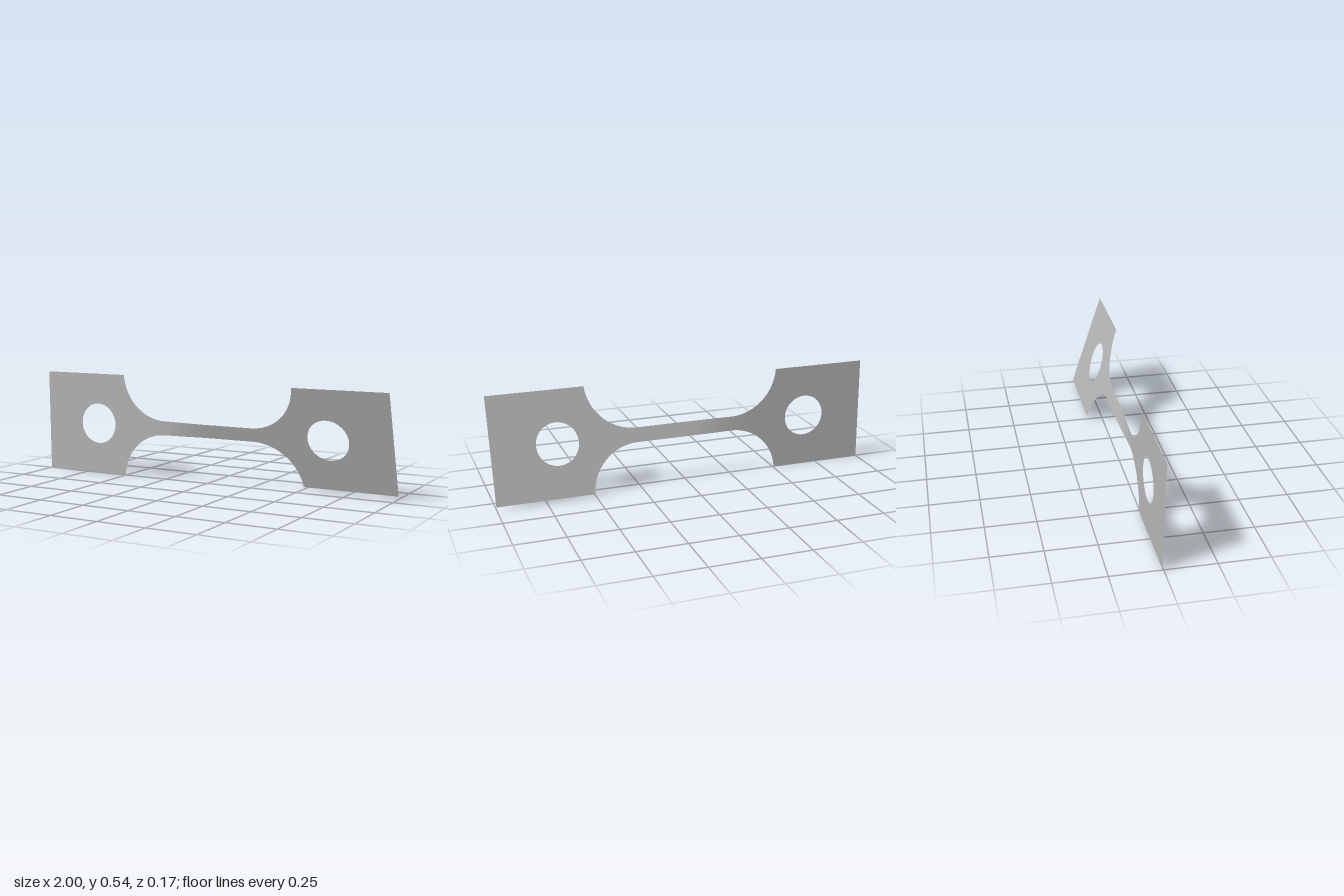
import * as THREE from 'three';

const MID_Y = 0.271;      // height of the long axis
const HEAD = 0.271;       // half height of the gripping heads
const BAR = 0.0375;       // half height of the slim bar
const NECK = 0.505;       // x where heads meet the fillets
const R = 0.25;           // fillet radius
const FILLET_X = 0.256;   // x of the fillet centres

// Twist angle along the strip: nearly upright on the right, tilted on the left
function twist(x) {
  const t = THREE.MathUtils.smoothstep(x, -0.36, 0.03);
  return THREE.MathUtils.degToRad(THREE.MathUtils.lerp(0.7, 18.3, t));
}

// Rotate every flat point about the long axis
function twisted(geometry) {
  const p = geometry.attributes.position;
  for (let i = 0; i < p.count; i++) {
    const x = p.getX(i), v = p.getY(i), a = twist(x);
    p.setXYZ(i, x, MID_Y + v * Math.cos(a), v * Math.sin(a));
  }
  geometry.computeVertexNormals();
  return geometry;
}

// Square head with a round bolt hole
function head(x0, x1, holeX) {
  const s = new THREE.Shape();
  s.moveTo(x0, -HEAD);
  s.lineTo(x1, -HEAD);
  s.lineTo(x1, HEAD);
  s.lineTo(x0, HEAD);
  s.closePath();
  const hole = new THREE.Path();
  hole.absarc(holeX, 0, 0.108, 0, Math.PI * 2, true);
  s.holes.push(hole);
  return twisted(new THREE.ShapeGeometry(s, 32));
}

// Waisted strip: quarter-round fillets at both ends of a straight bar
function gauge() {
  const columns = [];
  const end = Math.acos((BAR + R - HEAD) / R);
  const arc = 24, straight = 40;
  for (let i = 0; i <= arc; i++) {
    const a = end * (1 - i / arc);
    const x = i === 0 ? NECK : FILLET_X + R * Math.sin(a);
    columns.push([-x, BAR + R * (1 - Math.cos(a))]);
  }
  for (let i = 1; i < straight; i++) {
    columns.push([-FILLET_X + (2 * FILLET_X * i) / straight, BAR]);
  }
  for (let i = arc; i >= 0; i--) columns.push([-columns[i][0], columns[i][1]]);

  const g = new THREE.PlaneGeometry(1, 2, columns.length - 1, 8);
  const p = g.attributes.position;
  for (let i = 0; i < p.count; i++) {
    const [x, h] = columns[i % columns.length];
    p.setXY(i, x, p.getY(i) * h);
  }
  return twisted(g);
}

export function createModel() {
  const metal = new THREE.MeshStandardMaterial({ color: 0xb4b4b4, side: THREE.DoubleSide });
  metal.name = 'grey metal';

  const group = new THREE.Group();
  group.name = 'twistedTestStrip';
  const parts = {
    uprightHead: head(-1, -NECK, -0.673),
    gaugeBar: gauge(),
    tiltedHead: head(NECK, 1, 0.667),
  };
  for (const [name, geometry] of Object.entries(parts)) {
    const mesh = new THREE.Mesh(geometry, metal);
    mesh.name = name;
    group.add(mesh);
  }
  return group;
}
